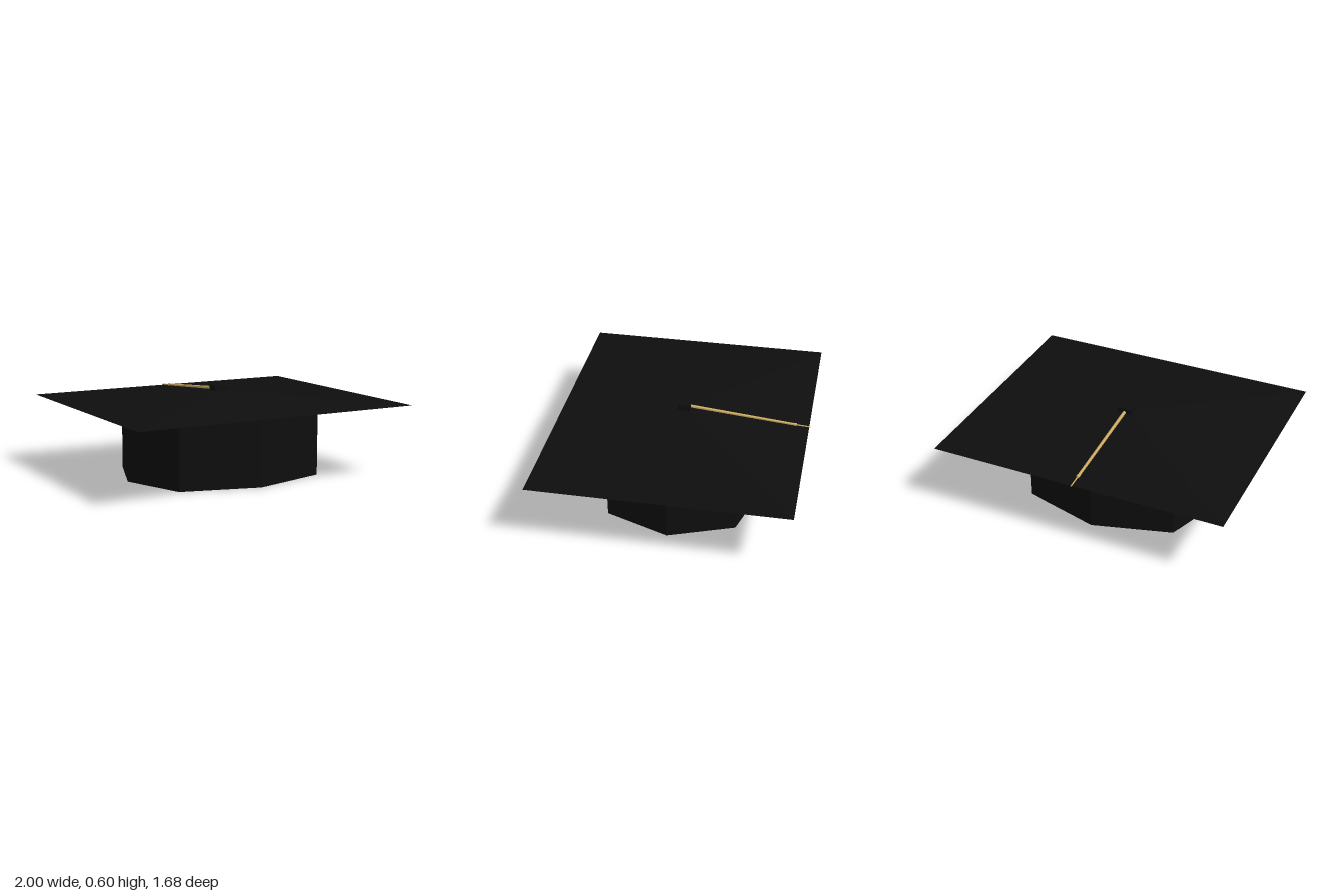
import * as THREE from 'three';

export function createModel() {
  const group = new THREE.Group();
  const black = new THREE.MeshStandardMaterial({ color: 0x0e0e0e, flatShading: true });
  black.name = 'black cloth';
  const gold = new THREE.MeshStandardMaterial({ color: 0xcbaa60, flatShading: true });
  gold.name = 'gold cord';

  const Z0 = 0.004; // the cap sits slightly forward of the cord's tip
  const EAVE = 0.495;

  const add = (name, geometry, material) => {
    const mesh = new THREE.Mesh(geometry, material);
    mesh.name = name;
    group.add(mesh);
    return mesh;
  };

  // Hollow eight-sided head band, open at the bottom
  const ring = (scale) => [
    [0.685, 0], [0.525, 0.43], [0, 0.576], [-0.525, 0.43],
    [-0.685, 0], [-0.525, -0.43], [0, -0.576], [0.525, -0.43],
  ].map(([x, z]) => new THREE.Vector2(x * scale, z * scale));
  const bandShape = new THREE.Shape(ring(1));
  bandShape.holes.push(new THREE.Path(ring(0.955)));
  const bandGeometry = new THREE.ExtrudeGeometry(bandShape, { depth: EAVE, bevelEnabled: false });
  bandGeometry.rotateX(-Math.PI / 2);
  add('headBand', bandGeometry, black).position.z = Z0;

  // Board: a very low pyramid with a flat underside
  const rise = 0.07;
  const boardGeometry = new THREE.ConeGeometry(Math.SQRT2, rise, 4);
  boardGeometry.rotateY(Math.PI / 4);
  boardGeometry.scale(1, 1, 0.837);
  add('board', boardGeometry, black).position.set(0, EAVE + rise / 2, Z0);

  // Square button on the peak
  add('button', new THREE.BoxGeometry(0.095, 0.06, 0.08), black).position.set(0, 0.57, Z0);

  // Cord running from the button to the back edge, with a thinner tip
  const cord = (name, from, to, r0, r1) => {
    const a = new THREE.Vector3(...from), b = new THREE.Vector3(...to);
    const dir = b.clone().sub(a);
    const mesh = add(name, new THREE.CylinderGeometry(r1, r0, dir.length(), 6), gold);
    mesh.position.copy(a).add(b).multiplyScalar(0.5);
    mesh.quaternion.setFromUnitVectors(new THREE.Vector3(0, 1, 0), dir.normalize());
  };
  cord('tasselCord', [0, 0.573, -0.03], [0, 0.507, -0.74], 0.011, 0.009);
  cord('tasselKnot', [0, 0.508, -0.725], [0, 0.506, -0.75], 0.011, 0.011);
  cord('tasselTip', [0, 0.506, -0.74], [0, 0.499, -0.841], 0.005, 0.004);

  return group;
}
